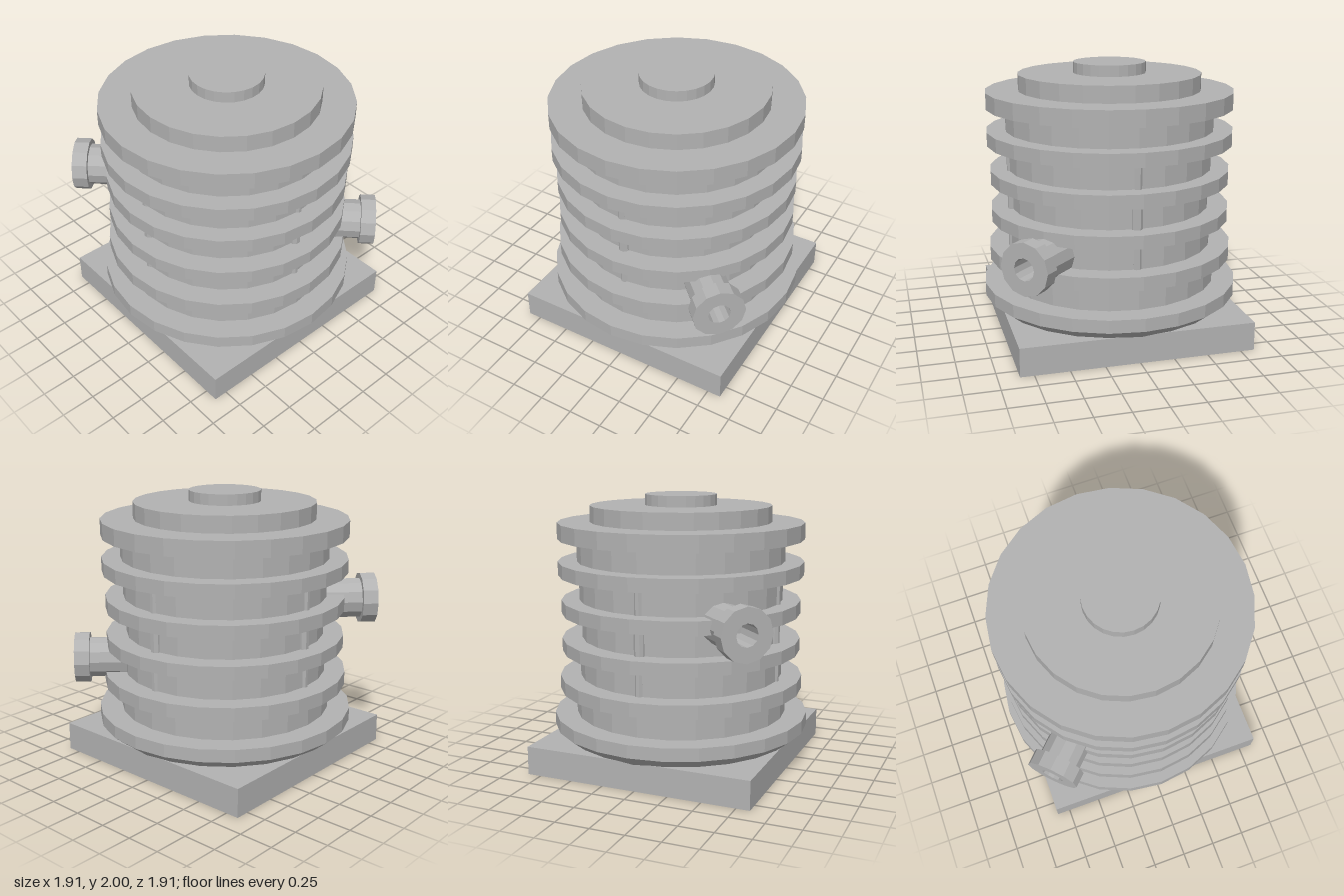
import * as THREE from 'three';

const SIDES = 24;
const metal = new THREE.MeshStandardMaterial({ color: 0xb2b2b2 });
metal.name = 'grey metal';
metal.flatShading = true;

export function createModel() {
  const model = new THREE.Group();
  model.name = 'finnedHousing';

  const add = (name, geometry, parent = model) => {
    const mesh = new THREE.Mesh(geometry, metal);
    mesh.name = name;
    parent.add(mesh);
    return mesh;
  };
  // Upright drum between two heights, optionally tapered towards the bottom
  const drum = (name, r, y0, y1, rBottom = r) => {
    const geometry = new THREE.CylinderGeometry(r, rBottom, y1 - y0, SIDES);
    add(name, geometry.translate(0, (y0 + y1) / 2, 0));
  };

  // Square foot and the tapered flange resting in it
  add('basePlate', new THREE.BoxGeometry(1.7, 0.21, 1.7).translate(0, 0.105, 0));
  drum('baseFlangeTaper', 0.955, 0.18, 0.28, 0.83);
  drum('baseFlange', 0.955, 0.28, 0.375);

  // Body sections between the fins
  drum('lowerBody', 0.79, 0.375, 0.56);
  drum('bodySection1', 0.757, 0.66, 0.85);
  drum('bodySection2', 0.74, 0.945, 1.13);
  drum('bodySection3', 0.757, 1.23, 1.415);
  drum('upperBody', 0.77, 1.515, 1.68);

  // Protruding fins
  [[0.91, 0.56, 0.66], [0.89, 0.85, 0.945], [0.89, 1.13, 1.23],
    [0.91, 1.415, 1.515], [0.91, 1.68, 1.8]]
    .forEach(([r, y0, y1], i) => drum(`fin${i + 1}`, r, y0, y1));

  // Stepped cap
  drum('capPlate', 0.67, 1.8, 1.92);
  drum('capBoss', 0.265, 1.92, 2);

  // Thin vertical rods on all four sides of the body
  const rods = new THREE.Group();
  rods.name = 'tieRods';
  model.add(rods);
  for (let i = 0; i < 4; i++) {
    const a = (i * Math.PI) / 2;
    for (const [r, y0, y1] of [[0.03, 0.66, 0.85], [0.04, 0.945, 1.13], [0.03, 1.23, 1.415]]) {
      const rod = new THREE.CylinderGeometry(r, r, y1 - y0, 8, 1, true);
      rod.rotateY(Math.PI / 8);
      rod.translate(0, (y0 + y1) / 2, 0.772 - r);
      add('tieRod', rod.rotateY(a), rods);
    }
  }

  // Hollow flanged pipe ports on opposite diagonals
  const profile = [[0.15, 0.7], [0.15, 1.015], [0.19, 1.015], [0.19, 1.125],
    [0.08, 1.125], [0.08, 0.76], [0, 0.76]].map(([r, d]) => new THREE.Vector2(r, d));
  const port = (name, angle, y) => {
    const geometry = new THREE.LatheGeometry(profile, 12);
    add(name, geometry.rotateX(Math.PI / 2).rotateY(angle).translate(0, y, 0));
  };
  port('frontPort', -Math.PI / 4, 1.17);
  port('rearPort', (3 * Math.PI) / 4, 0.745);

  return model;
}
